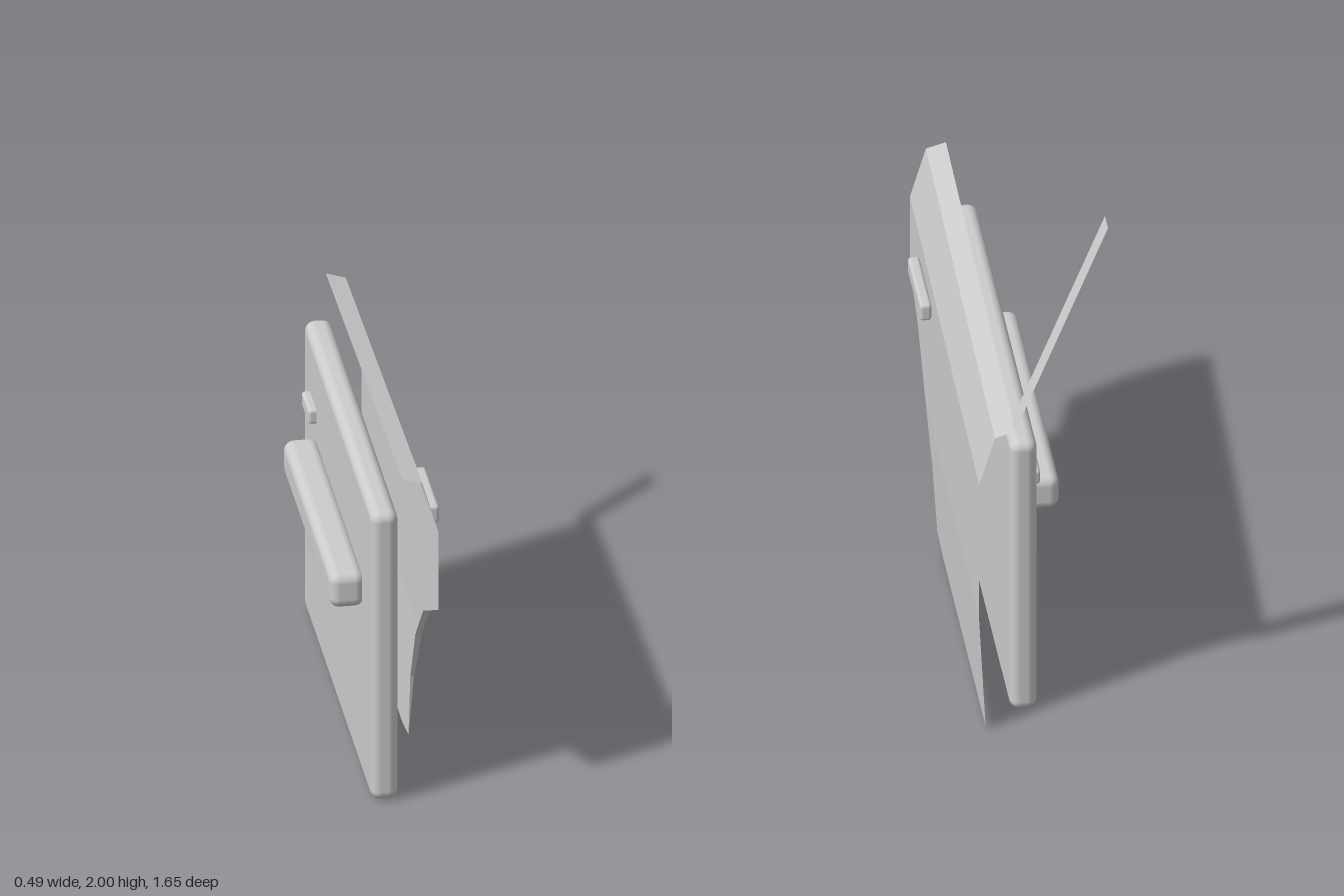
import * as THREE from 'three';
import { RoundedBoxGeometry } from 'three/addons/geometries/RoundedBoxGeometry.js';

export function createModel() {
  const door = new THREE.Group();
  door.name = 'carDoor';
  const grey = new THREE.MeshStandardMaterial({ color: 0xcccccc });
  grey.name = 'grey';
  const greySheet = new THREE.MeshStandardMaterial({ color: 0xcccccc, side: THREE.DoubleSide, flatShading: true });
  greySheet.name = 'greySheet';

  // Faceted sheet stretched between columns of points
  function sheet(name, columns) {
    const pos = [];
    const tri = (a, b, c) => {
      if (new THREE.Triangle(a, b, c).getArea() > 1e-6) {
        for (const p of [a, b, c]) pos.push(p.x, p.y, p.z);
      }
    };
    for (let i = 0; i + 1 < columns.length; i++) {
      const p = columns[i], q = columns[i + 1];
      for (let j = 0; j + 1 < p.length; j++) {
        tri(p[j], q[j], q[j + 1]);
        tri(p[j], q[j + 1], p[j + 1]);
      }
    }
    const geo = new THREE.BufferGeometry();
    geo.setAttribute('position', new THREE.Float32BufferAttribute(pos, 3));
    geo.computeVertexNormals();
    const mesh = new THREE.Mesh(geo, greySheet);
    mesh.name = name;
    door.add(mesh);
  }

  // Rounded block given by its extents on each axis
  function block(name, [x0, x1], [y0, y1], [z0, z1], radius) {
    const geo = new RoundedBoxGeometry(x1 - x0, y1 - y0, z1 - z0, 4, radius);
    const mesh = new THREE.Mesh(geo, grey);
    mesh.position.set((x0 + x1) / 2, (y0 + y1) / 2, (z0 + z1) / 2);
    mesh.name = name;
    door.add(mesh);
  }

  // Outer skin: lower edge [z, y] follows the wheel arch, then the sill
  const lowerEdge = [
    [0.825, 0.765], [0.64, 0.67], [0.47, 0.495], [0.36, 0.28],
    [0.32, 0.04], [0.2, 0.02], [-0.825, 0.02],
  ];
  sheet('outerSkin', lowerEdge.map(([z, low]) => {
    const t = (0.825 - z) / 1.65; // 0 at the front edge, 1 at the rear
    const at = (front, rear) => THREE.MathUtils.lerp(front, rear, t);
    const crease = at(0.495, 0.458);
    const lowX = 0.17 + 0.022 * Math.min(1, (low - 0.02) / (crease - 0.02));
    return [
      [0.17, low], // arch lip turned inward
      [lowX, low],
      [0.192, Math.max(low, crease)],
      [0.192, at(1.06, 1.0)],
      [0.138, at(1.248, 1.183)],
      [0.07, at(1.268, 1.205)], // window ledge
    ].map(([x, y]) => new THREE.Vector3(x, y, z));
  }));

  // Slanted window post at the rear edge
  sheet('windowPost', [-0.752, -0.825].map((z) => [
    new THREE.Vector3(0.07, 1.205, z),
    new THREE.Vector3(-0.245, 2, z),
  ]));

  // Inner trim and handles
  block('innerPanel', [-0.02, 0.073], [0.005, 1.09], [-0.735, 0.73], 0.035);
  block('armrest', [-0.13, -0.01], [0.642, 0.772], [-0.49, 0.54], 0.035);
  block('innerHandle', [-0.048, -0.01], [0.83, 0.885], [-0.605, -0.455], 0.012);
  block('outerHandle', [0.2, 0.24], [0.945, 1.01], [0.245, 0.545], 0.012);

  return door;
}
